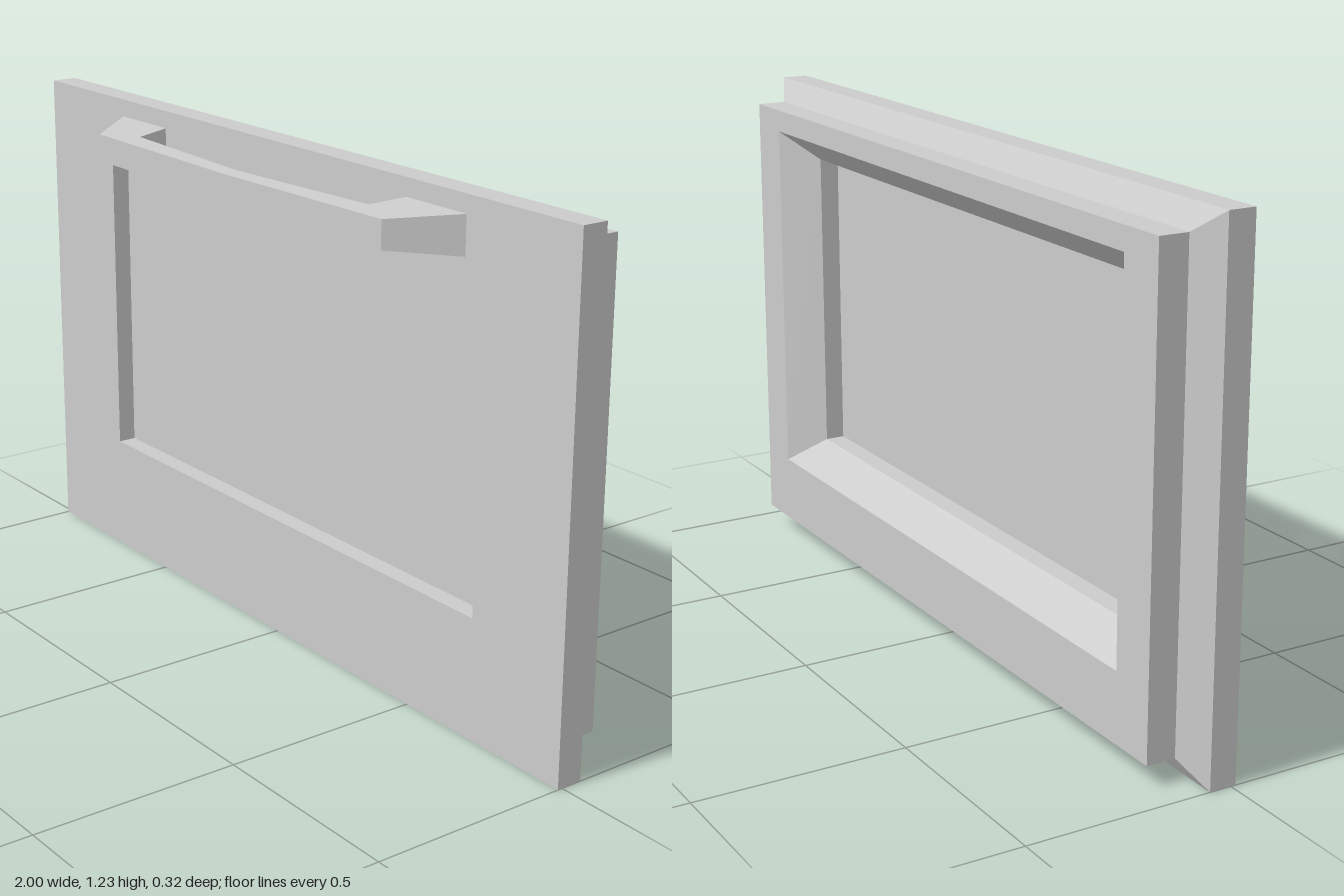
import * as THREE from 'three';

const material = new THREE.MeshStandardMaterial({ color: 0xcccccc, flatShading: true });

function addMesh(group, name, geometry) {
  const mesh = new THREE.Mesh(geometry, material);
  mesh.name = name;
  group.add(mesh);
  return mesh;
}

// Skins a closed series of rectangular rings: [half width, bottom, top, z]
function rectangularLoft(rings) {
  const corners = rings.map(([w, y0, y1, z]) => [[-w, y0, z], [w, y0, z], [w, y1, z], [-w, y1, z]]);
  const positions = [];
  corners.forEach((a, i) => {
    const b = corners[(i + 1) % corners.length];
    for (let j = 0; j < 4; j++) {
      const k = (j + 1) % 4;
      positions.push(...a[j], ...b[j], ...b[k], ...a[j], ...b[k], ...a[k]);
    }
  });
  const geometry = new THREE.BufferGeometry();
  geometry.setAttribute('position', new THREE.Float32BufferAttribute(positions, 3));
  geometry.computeVertexNormals();
  return geometry;
}

// Handle outline seen from above, mirrored left to right, tapering in height away from the door
function handleGeometry() {
  const outer = [[0.66, 0.01], [0.55, 0.15]];
  const inner = [[0.445, 0.1], [0.465, 0.01]];
  const flip = (points) => points.map(([x, z]) => [-x, z]).reverse();
  const outline = [...outer, [0, 0.161], ...flip(outer), ...flip(inner), [0, 0.124], ...inner];
  const shape = new THREE.Shape(outline.map(([x, z]) => new THREE.Vector2(x, z)));
  const geometry = new THREE.ExtrudeGeometry(shape, { depth: 1, bevelEnabled: false });
  geometry.rotateX(Math.PI / 2).translate(0, 0.5, 0);
  const p = geometry.attributes.position;
  for (let i = 0; i < p.count; i++) {
    const height = 0.092 - (p.getZ(i) - 0.01) * 0.18;
    p.setY(i, 1.139 + p.getY(i) * height);
  }
  geometry.computeVertexNormals();
  return geometry;
}

export function createModel() {
  const group = new THREE.Group();
  group.name = 'ovenDoor';

  // Front slab, stepped back panel and splayed window opening
  addMesh(group, 'doorFrame', rectangularLoft([
    [1, 0, 1.228, 0.012],
    [1, 0, 1.228, -0.053],
    [0.924, 0.054, 1.175, -0.09],
    [0.924, 0.054, 1.175, -0.161],
    [0.805, 0.222, 1.12, -0.161],
    [0.714, 0.293, 1.054, -0.087],
    [0.714, 0.293, 1.054, 0.012],
  ]));

  // Recessed window pane
  const pane = addMesh(group, 'windowPane', new THREE.BoxGeometry(1.428, 0.761, 0.004));
  pane.position.set(0, 0.6735, -0.036);

  addMesh(group, 'handle', handleGeometry());

  return group;
}
